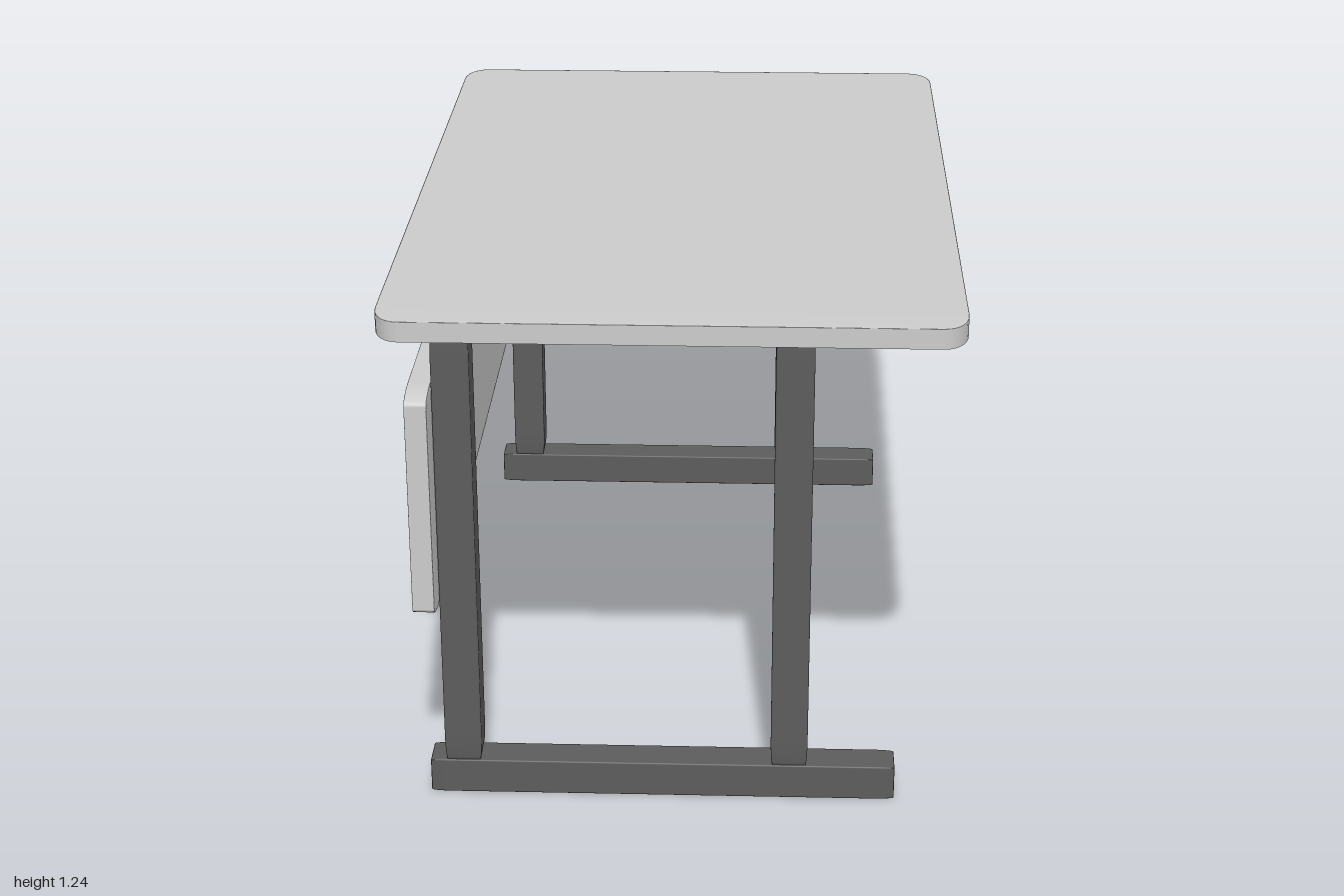
import * as THREE from 'three';
import { RoundedBoxGeometry } from 'three/addons/geometries/RoundedBoxGeometry.js';

const light = new THREE.MeshStandardMaterial({ color: 0xcccccc });
const dark = new THREE.MeshStandardMaterial({ color: 0x5c5c5c });

// Rounded unit cube stretched between two corners, so the rounding grows with each side
function slab(name, material, min, max, radius) {
  const size = max.map((v, i) => v - min[i]);
  const geometry = new RoundedBoxGeometry(1, 1, 1, 4, radius);
  geometry.scale(...size);
  const mesh = new THREE.Mesh(geometry, material);
  mesh.position.set(...max.map((v, i) => (v + min[i]) / 2));
  mesh.name = name;
  return mesh;
}

export function createModel() {
  const desk = new THREE.Group();
  desk.name = 'desk';

  // Worktop and modesty panel
  desk.add(slab('tabletop', light, [-0.665, 1.195, -1], [0.665, 1.247, 1], 0.045));
  desk.add(slab('modestyPanel', light, [-0.6, 0.505, -1], [-0.545, 1.065, 1], 0.045));

  // A foot bar with two uprights at each end
  for (const side of [1, -1]) {
    const frame = new THREE.Group();
    frame.name = side > 0 ? 'frontFrame' : 'backFrame';
    frame.add(slab('foot', dark, [-0.58, 0.003, -0.043], [0.533, 0.091, 0.043], 0.045));
    for (const x of [-0.5, 0.28]) {
      frame.add(slab('leg', dark, [x - 0.044, 0.09, -0.043], [x + 0.044, 1.197, 0.043], 0.06));
    }
    frame.position.z = side * 0.891;
    desk.add(frame);
  }
  return desk;
}
